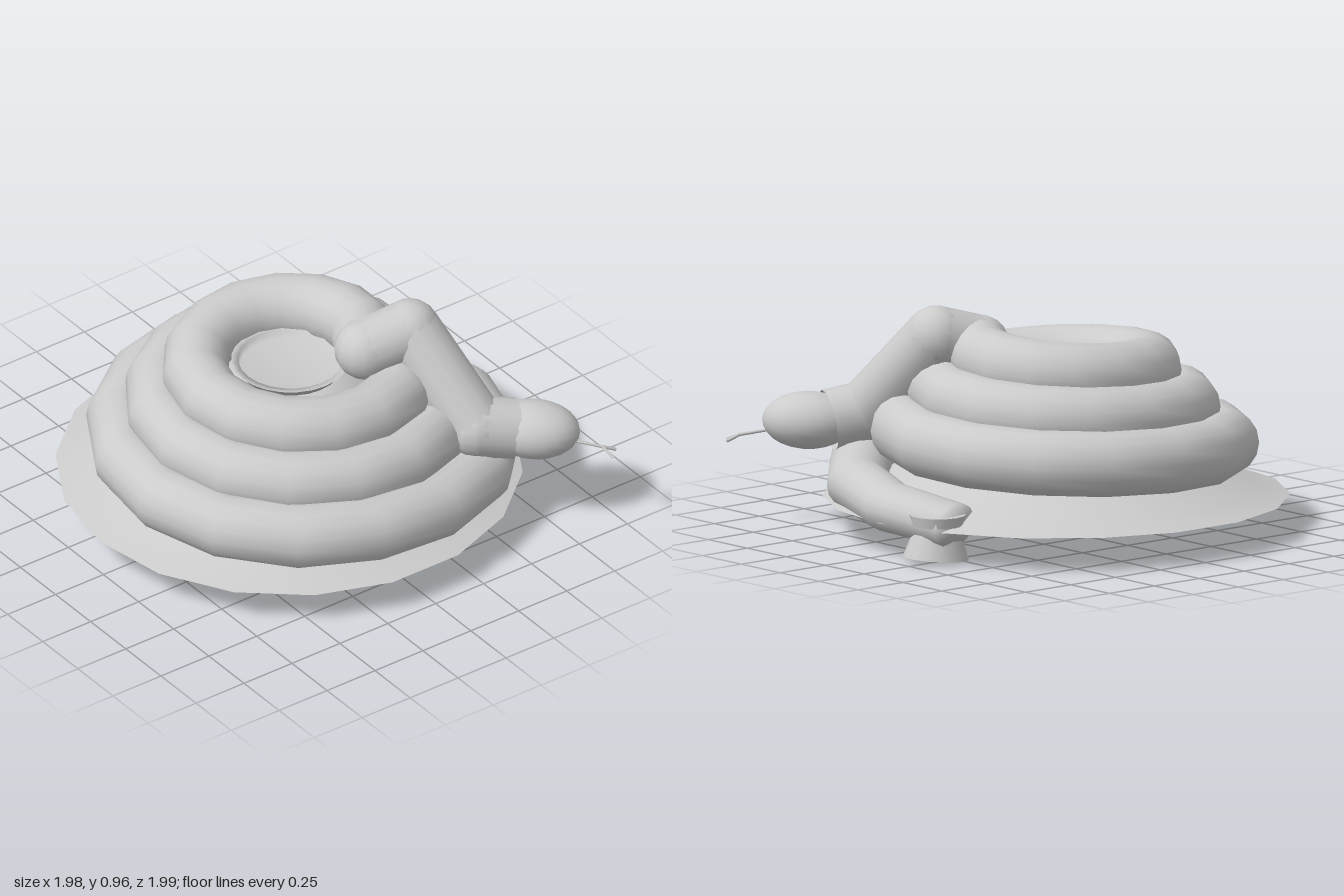
import * as THREE from 'three';

const mat = new THREE.MeshStandardMaterial({ color: 0xcccccc });
const thin = new THREE.MeshStandardMaterial({ color: 0xcccccc, side: THREE.DoubleSide });

// Sweeps an oval section along sections { p, w, h }: centre, half width, half height.
function sweep(sections, sides) {
  const pos = [], index = [];
  const up = new THREE.Vector3(0, 1, 0);
  const last = sections.length - 1;
  sections.forEach(({ p, w, h }, i) => {
    const dir = (a, b) => sections[b].p.clone().sub(sections[a].p).normalize();
    const t = new THREE.Vector3();
    if (i > 0) t.add(dir(i - 1, i));
    if (i < last) t.add(dir(i, i + 1));
    t.normalize();
    const side = t.clone().cross(up).normalize();
    const n = side.clone().cross(t);
    for (let j = 0; j < sides; j++) {
      const a = (j / sides) * Math.PI * 2;
      const v = p.clone().addScaledVector(side, w * Math.cos(a)).addScaledVector(n, h * Math.sin(a));
      pos.push(v.x, v.y, v.z);
      if (i < last) {
        const k = (j + 1) % sides, A = i * sides, B = A + sides;
        index.push(A + j, B + j, A + k, B + j, B + k, A + k);
      }
    }
  });
  const g = new THREE.BufferGeometry();
  g.setAttribute('position', new THREE.Float32BufferAttribute(pos, 3));
  g.setIndex(index);
  g.computeVertexNormals();
  return g;
}

export function createModel() {
  const model = new THREE.Group();
  const V = (x, y, z) => new THREE.Vector3(x, y, z);
  const add = (name, geometry, material = mat, position = V(0, 0, 0)) => {
    const m = new THREE.Mesh(geometry, material);
    m.name = name;
    m.position.copy(position);
    model.add(m);
    return m;
  };
  // Lathe with a corner on the -x axis
  const lathe = (pts, sides) =>
    new THREE.LatheGeometry(pts.map(([r, y]) => new THREE.Vector2(r, y)), sides, -Math.PI / 2);

  // Coiled body: rises and tightens at a steady rate, flattened at the tail
  const body = [];
  const start = -0.06, end = 3.1, perTurn = 15;
  const steps = Math.round((end - start) * perTurn);
  for (let i = 0; i <= steps; i++) {
    const u = start + ((end - start) * i) / steps;
    const tail = Math.max(0, 1 - 4 * u);
    const R = 0.82 - 0.16 * u + 0.065 * tail;
    const a = u * Math.PI * 2;
    body.push({
      p: V(R * Math.cos(a) - 0.02, 0.27 + 0.16 * u - 0.075 * tail, R * Math.sin(a) - 0.007),
      w: 0.14 - 0.012 * tail,
      h: 0.14 - 0.035 * tail,
    });
  }
  const tip = body[0].p;
  body.unshift({ p: tip.clone().add(V(-0.005, -0.005, -0.03)), w: 0.001, h: 0.001 });
  add('coiledBody', sweep(body, 16), thin);

  // Tail stub turned down, with a flat collar above it
  const stub = add('tailStub', new THREE.CylinderGeometry(0.085, 0.13, 0.15, 14), mat, V(0.835, 0.09, -0.24));
  stub.rotation.z = 0.1;
  stub.scale.x = 1.12;
  add('tailCollar', new THREE.CylinderGeometry(0.12, 0.11, 0.045, 14), mat, V(0.865, 0.19, -0.28));

  // Raised neck with rounded elbows
  const bends = [V(0.21, 0.78, 0.21), V(0.40, 0.835, 0.27), V(0.505, 0.48, 0.60), V(0.65, 0.45, 0.67)];
  for (let i = 0; i < bends.length - 1; i++) {
    const [a, b] = [bends[i], bends[i + 1]];
    const seg = add('neckSegment', new THREE.CylinderGeometry(0.13, 0.13, a.distanceTo(b), 14, 1, true), thin,
      a.clone().lerp(b, 0.5));
    seg.quaternion.setFromUnitVectors(V(0, 1, 0), b.clone().sub(a).normalize());
  }
  bends.slice(0, 3).forEach((p) => add('neckJoint', new THREE.SphereGeometry(0.131, 14, 10), mat, p));

  // Egg-shaped head pointing diagonally outward
  const head = add('head', new THREE.SphereGeometry(1, 20, 14), mat, V(0.715, 0.45, 0.725));
  head.scale.set(0.14, 0.122, 0.195);
  head.rotation.y = Math.PI / 4;

  // Forked tongue
  const fork = V(0.925, 0.385, 0.925);
  const prongs = [
    [V(0.82, 0.41, 0.83), fork],
    [fork, V(0.98, 0.36, 0.945)],
    [fork, V(0.935, 0.36, 0.99)],
  ];
  prongs.forEach(([a, b]) =>
    add('tonguePart', new THREE.TubeGeometry(new THREE.LineCurve3(a, b), 1, 0.007, 6), thin));

  // Thin flared brim
  add('brim', lathe([[0.985, 0.15], [0.86, 0.185], [0.66, 0.275]], 18), thin, V(-0.01, 0, -0.03));

  // Hollow lining under the coil, recessed cap on top and a shallow plug below
  const coreAt = V(-0.02, 0, -0.007);
  add('lining', lathe([[0.66, 0.24], [0.48, 0.42], [0.29, 0.61], [0.15, 0.635], [0, 0.64]], 24), thin, coreAt);
  add('crownCap', lathe([[0.25, 0.70], [0.22, 0.70], [0.215, 0.66], [0, 0.66]], 24), thin, coreAt);
  add('lowerPlug', lathe([[0, 0.18], [0.355, 0.165], [0.36, 0.205], [0, 0.36]], 24), thin, coreAt);

  return model;
}
